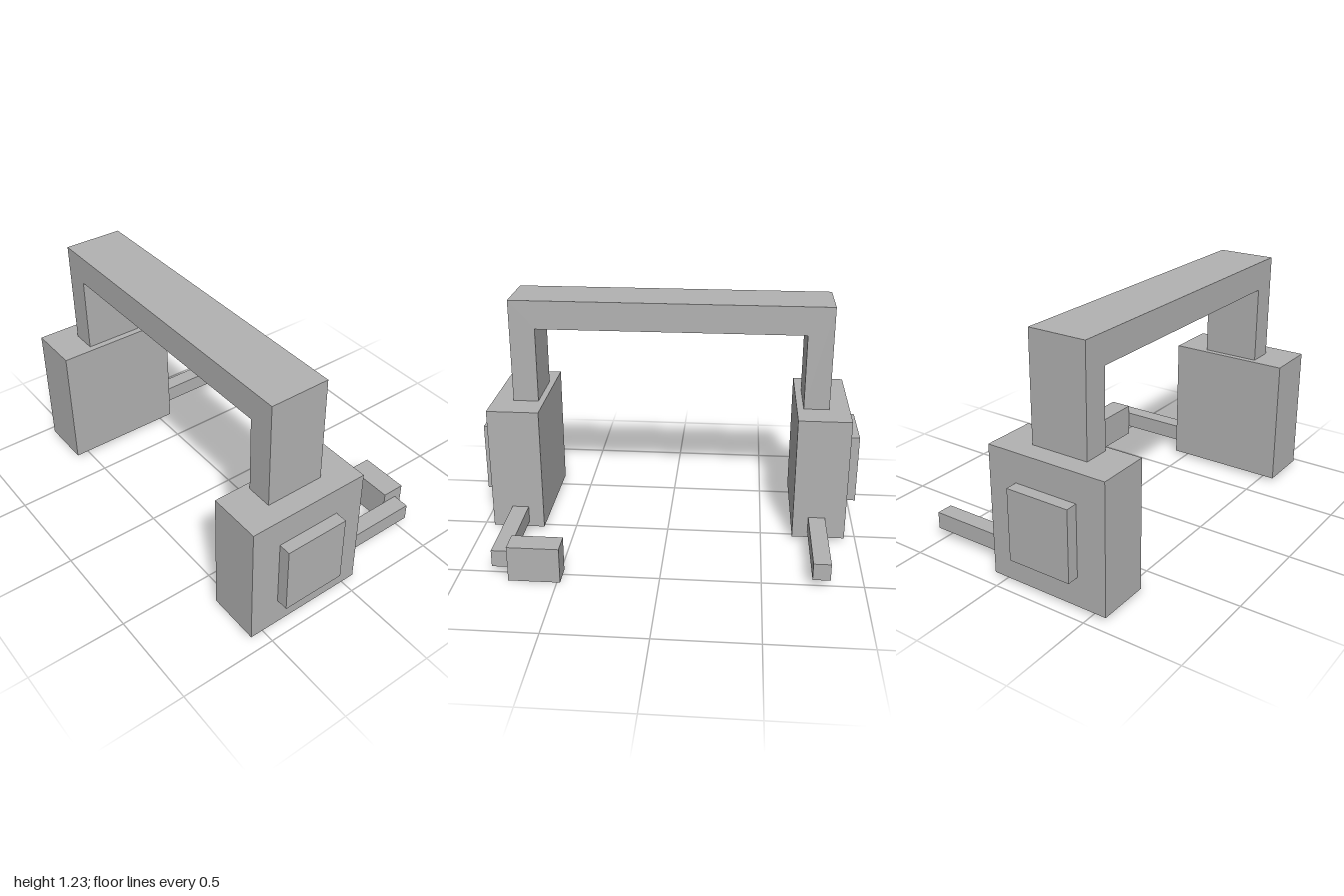
import * as THREE from 'three';

export function createModel() {
  const model = new THREE.Group();
  const grey = new THREE.MeshStandardMaterial({ color: 0xb2b2b2 });
  grey.name = 'light grey';

  // Box given by its extents along each axis
  function addBox(name, [x0, x1], [y0, y1], [z0, z1]) {
    const mesh = new THREE.Mesh(new THREE.BoxGeometry(x1 - x0, y1 - y0, z1 - z0), grey);
    mesh.position.set((x0 + x1) / 2, (y0 + y1) / 2, (z0 + z1) / 2);
    mesh.name = name;
    model.add(mesh);
  }

  // Headband: one square arch resting on the ear cups
  const arch = new THREE.Shape([
    [-0.833, 0.683], [-0.7, 0.683], [-0.7, 1.08], [0.697, 1.08],
    [0.697, 0.683], [0.831, 0.683], [0.831, 1.23], [-0.833, 1.23],
  ].map(([x, y]) => new THREE.Vector2(x, y)));
  const headband = new THREE.Mesh(
    new THREE.ExtrudeGeometry(arch, { depth: 0.302, bevelEnabled: false }), grey);
  headband.position.z = 0.106;
  headband.name = 'headband';
  model.add(headband);

  // Ear cups, outer plates and rear arms on both sides
  for (const [side, s] of [['left', 1], ['right', -1]]) {
    const span = (a, b) => (s > 0 ? [a, b] : [-b, -a]);
    addBox(side + 'EarCup', span(0.665, 0.938), [0.02, 0.683], [-0.06, 0.576]);
    addBox(side + 'OuterPlate', span(0.938, 1), [0.17, 0.534], [0.092, 0.425]);
    addBox(side + 'Arm', span(0.745, 0.832), [0.049, 0.137], [-0.53, -0.06]);
  }

  // Microphone at the end of the left arm
  addBox('microphone', [0.484, 0.742], [0, 0.185], [-0.576, -0.456]);

  return model;
}
